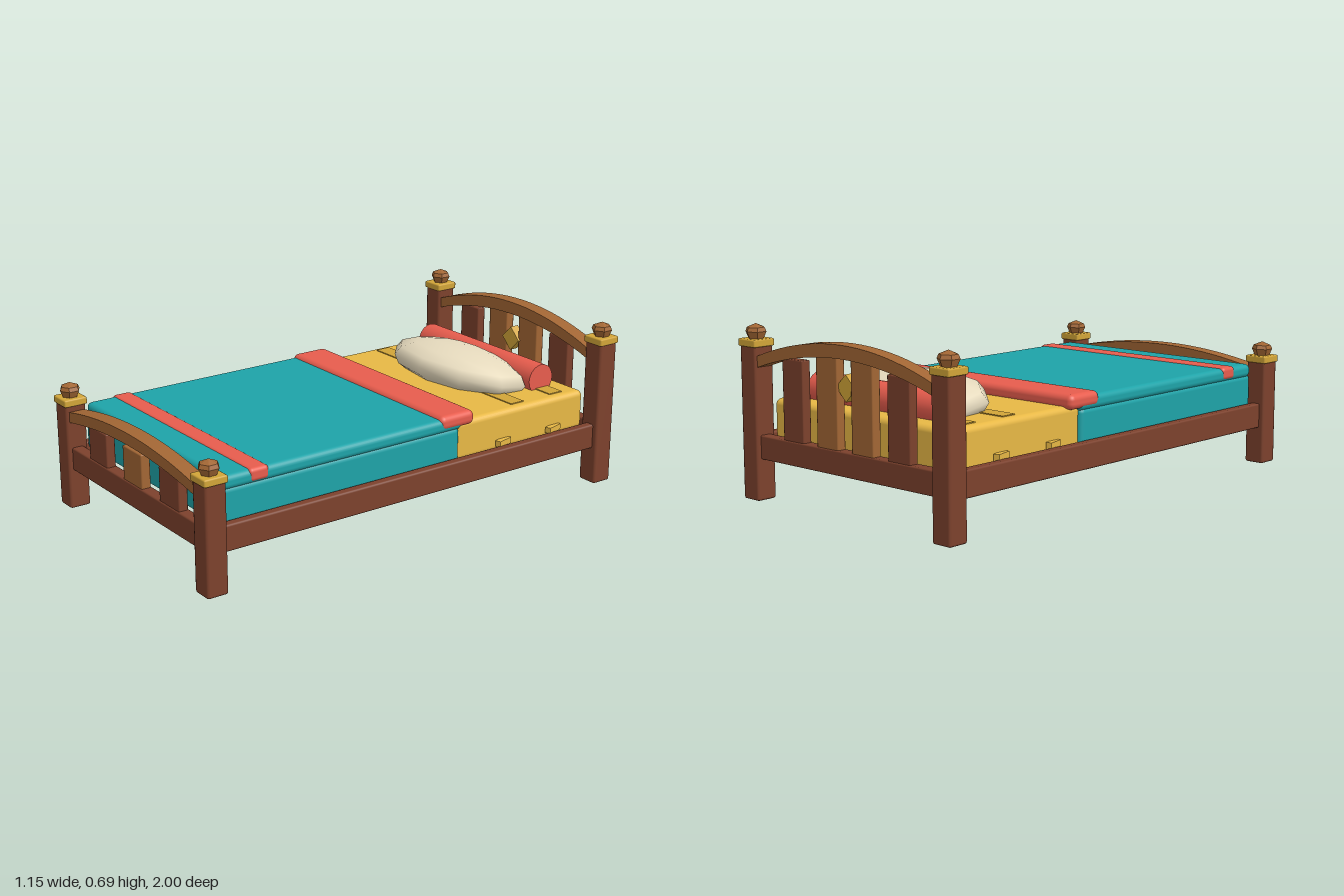
import * as THREE from 'three';
import { RoundedBoxGeometry } from 'three/addons/geometries/RoundedBoxGeometry.js';
import { toCreasedNormals } from 'three/addons/utils/BufferGeometryUtils.js';

function material(name, color) {
  const m = new THREE.MeshStandardMaterial({ color });
  m.name = name;
  return m;
}

export function createModel() {
  const darkWood = material('dark wood', 0x7c412c);
  const lightWood = material('light wood', 0xa26634);
  const brass = material('brass', 0xd2a538);
  const straw = material('mattress yellow', 0xeaba46);
  const teal = material('teal blanket', 0x1ea3a8);
  const red = material('red cloth', 0xf26151);
  const cream = material('cream pillow', 0xe9ddc0);
  const finialWood = lightWood.clone();
  finialWood.name = 'faceted light wood';
  finialWood.flatShading = true;

  const bed = new THREE.Group();
  bed.name = 'bed';

  function add(name, geometry, mat, x = 0, y = 0, z = 0, parent = bed) {
    const mesh = new THREE.Mesh(geometry, mat);
    mesh.name = name;
    mesh.position.set(x, y, z);
    parent.add(mesh);
    return mesh;
  }

  // Bevelled box given by its extents on each axis
  function block(name, mat, [x0, x1], [y0, y1], [z0, z1], radius = 0.008, segments = 1, parent = bed) {
    const g = new RoundedBoxGeometry(x1 - x0, y1 - y0, z1 - z0, segments, radius);
    return add(name, g, mat, (x0 + x1) / 2, (y0 + y1) / 2, (z0 + z1) / 2, parent);
  }

  // Curved top rail of an end board, as a parabolic band
  function arch(name, topMid, topEnd, lowMid, lowEnd, z, parent) {
    const half = 0.485, n = 20, upper = [], lower = [];
    for (let i = 0; i <= n; i++) {
      const t = (i / n) * 2 - 1;
      upper.push(new THREE.Vector2(t * half, topMid + (topEnd - topMid) * t * t));
      lower.push(new THREE.Vector2(t * half, lowMid + (lowEnd - lowMid) * t * t));
    }
    const shape = new THREE.Shape([...lower, ...upper.reverse()]);
    const g = new THREE.ExtrudeGeometry(shape, { depth: 0.065, bevelEnabled: false });
    g.translate(0, 0, -0.0325);
    add(name, toCreasedNormals(g, 0.5), lightWood, 0, 0, z, parent);
  }

  // Faceted finial: narrow foot, wide shoulder, pointed cap
  const finialProfile = [[0.03, 0], [0.043, 0.03], [0.036, 0.046], [0, 0.061]]
    .map(([r, y]) => new THREE.Vector2(r, y));
  const finialShape = new THREE.LatheGeometry(finialProfile, 6);

  // Posts with brass collars and finials, plus the lower rail
  function endBoard(name, z, height) {
    const board = new THREE.Group();
    board.name = name;
    bed.add(board);
    for (const s of [-1, 1]) {
      const x = s * 0.523;
      block('post', darkWood, [x - 0.045, x + 0.045], [0, height + 0.008], [z - 0.045, z + 0.045], 0.01, 1, board);
      block('collar', brass, [x - 0.05, x + 0.05], [height, height + 0.03], [z - 0.05, z + 0.05], 0.006, 1, board);
      add('finial', finialShape, finialWood, x, height + 0.027, z, board);
    }
    block('lowerRail', darkWood, [-0.485, 0.485], [0.165, 0.26], [z - 0.025, z + 0.025], 0.006, 1, board);
    return board;
  }

  function slat(board, mat, x, width, top, z) {
    block('slat', mat, [x - width / 2, x + width / 2], [0.25, top], [z - 0.02, z + 0.02], 0.005, 1, board);
  }

  // Headboard
  const head = endBoard('headboard', -0.95, 0.604);
  arch('headArch', 0.66, 0.569, 0.608, 0.525, -0.951, head);
  for (const s of [-1, 1]) {
    slat(head, darkWood, s * 0.289, 0.116, 0.576, -0.95);
    slat(head, lightWood, s * 0.096, 0.116, 0.612, -0.95);
  }
  const diamond = add('diamondOrnament', new THREE.BoxGeometry(0.074, 0.074, 0.04), brass, 0, 0.497, -0.94, head);
  diamond.rotation.z = Math.PI / 4;

  // Footboard
  const foot = endBoard('footboard', 0.95, 0.434);
  arch('footArch', 0.464, 0.411, 0.416, 0.368, 0.948, foot);
  for (const x of [-0.27, 0, 0.27]) slat(foot, x ? darkWood : lightWood, x, 0.141, 0.397, 0.95);

  // Side rails and the cross slats under the mattress
  for (const s of [-1, 1]) {
    const x = s * 0.526;
    block('sideRail', darkWood, [x - 0.021, x + 0.021], [0.155, 0.26], [-0.91, 0.91]);
  }
  for (let i = 0; i < 8; i++) {
    const z = -0.77 + i * 0.22;
    block('crossSlat', lightWood, [-0.485, 0.485], [0.195, 0.232], [z - 0.045, z + 0.045], 0.004);
  }

  // Mattress with low quilted bands and small side tabs
  block('mattress', straw, [-0.487, 0.487], [0.23, 0.397], [-0.9, 0.885], 0.025, 3);
  for (const z of [-0.775, -0.565]) {
    add('mattressBand', new THREE.BoxGeometry(0.9, 0.012, 0.066), brass, 0, 0.395, z);
  }
  for (const [x, z] of [[0.496, -0.725], [0.496, -0.455], [-0.496, -0.655], [-0.496, -0.37]]) {
    const tab = add('mattressTab', new THREE.BoxGeometry(0.025, 0.025, 0.075), straw, x, 0.268, z);
    tab.rotation.y = 0.25;
  }

  // Blanket: draped sides below, thick cover on top, red fold and stripe
  block('blanketDrape', teal, [-0.505, 0.505], [0.236, 0.385], [-0.22, 0.897], 0.022, 3);
  block('blanketTop', teal, [-0.51, 0.51], [0.374, 0.43], [-0.23, 0.89], 0.022, 3);
  block('blanketFold', red, [-0.514, 0.514], [0.384, 0.444], [-0.288, -0.118], 0.024, 3);
  block('blanketStripe', red, [-0.513, 0.513], [0.382, 0.435], [0.685, 0.77], 0.016, 3);

  // Bolster
  const bolster = add('bolster', new THREE.CylinderGeometry(0.064, 0.064, 0.73, 20), red, 0, 0.437, -0.768);
  bolster.rotation.z = Math.PI / 2;

  // Pillow: a coarse squashed ball, its shorter back half tucked under the bolster
  const ball = new THREE.SphereGeometry(1, 10, 8);
  ball.rotateY(Math.PI / 2);
  const p = ball.attributes.position;
  for (let i = 0; i < p.count; i++) if (p.getZ(i) < 0) p.setZ(i, p.getZ(i) * 0.75);
  ball.scale(0.373, 0.096, 0.235);
  const pillow = add('pillow', ball, cream, 0, 0.424, -0.64);
  pillow.rotation.x = -0.17;

  return bed;
}
